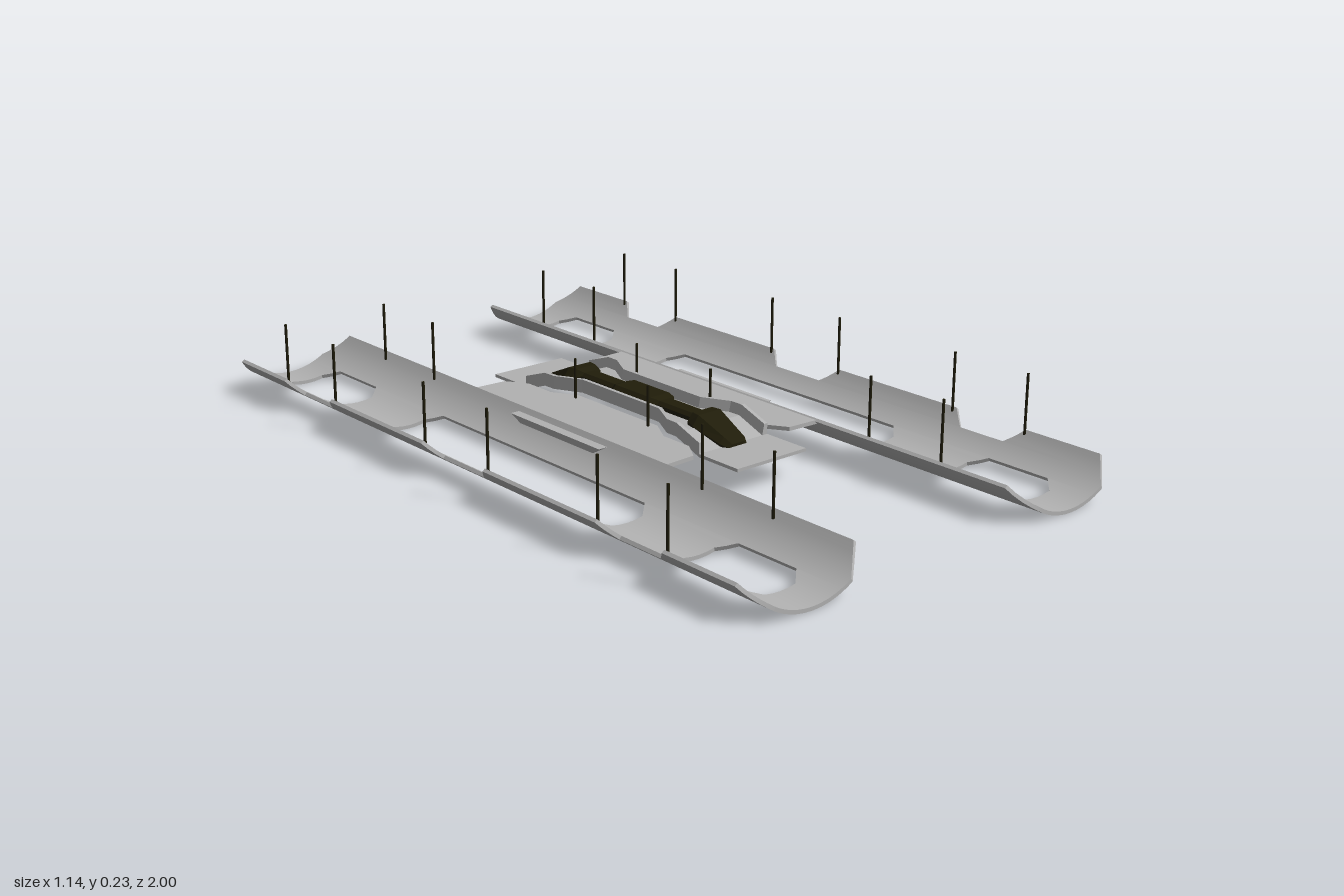
import * as THREE from 'three';
import { toCreasedNormals } from 'three/addons/utils/BufferGeometryUtils.js';

const grey = new THREE.MeshStandardMaterial({ color: 0xb2b2b2 });
grey.name = 'paintedGrey';
const dark = new THREE.MeshStandardMaterial({ color: 0x201d0a });
dark.name = 'darkOlive';

const QUADS = [[0, 3, 2, 1], [4, 5, 6, 7], [0, 1, 5, 4], [1, 2, 6, 5], [2, 3, 7, 6], [3, 0, 4, 7]];

// Six-sided block from four lower and four upper corners, always facing outwards
function addBlock(out, lower, upper) {
  const c = [...lower, ...upper].map((p) => new THREE.Vector3(...p));
  const e1 = c[1].clone().sub(c[0]), e2 = c[3].clone().sub(c[0]), e3 = c[4].clone().sub(c[0]);
  const flip = e1.cross(e2).dot(e3) < 0;
  for (const q of QUADS) {
    const [a, b, d, e] = (flip ? [...q].reverse() : q).map((i) => c[i].toArray());
    out.push(...a, ...b, ...d, ...a, ...d, ...e);
  }
}

function blockMesh(name, material, positions, crease = 0) {
  let g = new THREE.BufferGeometry();
  g.setAttribute('position', new THREE.Float32BufferAttribute(positions, 3));
  g.computeVertexNormals();
  if (crease) g = toCreasedNormals(g, crease);
  const m = new THREE.Mesh(g, material);
  m.name = name;
  return m;
}

// Curved trough with windows along the bottom and notches in the outer edge
function trough() {
  const R = 0.212, T = 0.009, X = 0.403;
  const us = [-0.17, -0.155, -0.14, -0.125, -0.11, -0.097, -0.083, -0.065, -0.045, -0.022, 0,
    0.022, 0.045, 0.065, 0.083, 0.097, 0.11, 0.122, 0.135, 0.147, 0.158, 0.168];
  const gaps = (u, mid) => {
    if (Math.abs(mid) < 0.083) {
      const inset = Math.max(0, Math.abs(u) - 0.045) * 0.92;
      return [[-0.7825, 0.1225 - inset], [0, 0.425 - inset], [0.7825, 0.1225 - inset]];
    }
    if (mid > 0.135) {
      const grow = (u - 0.135) * 1.25;
      return [[-0.627, 0.066 + grow], [0, 0.08 + grow], [0.627, 0.066 + grow]];
    }
    return [];
  };
  const cuts = (u, mid) => {
    const end = 1 - Math.max(0, Math.abs(u) - 0.11) * 0.85;
    return [-end, ...gaps(u, mid).flatMap(([c, h]) => [c - h, c + h]), end];
  };
  const point = (u, r, z) => {
    const a = Math.asin(u / R);
    return [X + r * Math.sin(a), R - r * Math.cos(a), z];
  };
  const pos = [];
  for (let i = 0; i < us.length - 1; i++) {
    const [u, v] = [us[i], us[i + 1]], mid = (u + v) / 2;
    const a = cuts(u, mid), b = cuts(v, mid);
    for (let k = 0; k < a.length; k += 2) {
      const layer = (r) => [point(u, r, a[k]), point(v, r, b[k]), point(v, r, b[k + 1]), point(u, r, a[k + 1])];
      addBlock(pos, layer(R), layer(R - T));
    }
  }
  return blockMesh('trough', grey, pos, 0.5);
}

// Flat wing joining a trough to the middle
function wing() {
  const half = [[0.24, 0.365], [0.152, 0.36], [0.117, 0.305], [0.117, 0.215], [0.08, 0.15]];
  const outline = [...half, ...half.map(([x, z]) => [x, -z]).reverse()];
  const shape = new THREE.Shape(outline.map(([x, z]) => new THREE.Vector2(x, z)));
  const g = new THREE.ExtrudeGeometry(shape, { depth: 0.01, bevelEnabled: false });
  g.rotateX(Math.PI / 2).translate(0, 0.088, 0);
  const m = new THREE.Mesh(g, grey);
  m.name = 'wing';
  return m;
}

const rect = (x0, x1, z, y) => [[x0, y, -z], [x1, y, -z], [x1, y, z], [x0, y, z]];

// Tapered block below the wing
function underBlock() {
  const pos = [];
  addBlock(pos, rect(0.18, 0.265, 0.12, 0.048), rect(0.115, 0.275, 0.17, 0.079));
  return blockMesh('underBlock', grey, pos);
}

// Mirror a list of stations [z, ...] to negative z
const bothEnds = (list) => [...list, ...list.map(([z, ...r]) => [-z, ...r]).reverse()];

// Centre bracket: floor with raised ends sloping down, and side rails
function bracket() {
  // z, half width, floor height, rail top
  const st = bothEnds([[0.46, 0.108, 0.073, 0.073], [0.33, 0.108, 0.073, 0.1],
    [0.25, 0.108, 0.102, 0.128], [0.215, 0.107, 0.102, 0.128], [0.145, 0.071, 0.102, 0.128]]);
  const floor = [], rails = [];
  for (let i = 0; i < st.length - 1; i++) {
    const [a, b] = [st[i], st[i + 1]];
    const layer = (d) => [[-a[1], a[2] + d, a[0]], [a[1], a[2] + d, a[0]], [b[1], b[2] + d, b[0]], [-b[1], b[2] + d, b[0]]];
    addBlock(floor, layer(-0.008), layer(0));
    if (i === 0 || i === st.length - 2) continue;
    for (const s of [-1, 1]) {
      const rail = (k, t) => [[s * a[1], a[k], a[0]], [s * (a[1] - t), a[k], a[0]],
        [s * (b[1] - t), b[k], b[0]], [s * b[1], b[k], b[0]]];
      addBlock(rails, rail(2, 0.016), rail(3, 0.01));
    }
  }
  const g = new THREE.Group();
  g.name = 'centreBracket';
  g.add(blockMesh('bracketFloor', grey, floor), blockMesh('bracketRails', grey, rails));
  return g;
}

// Dark bar with a bulb at each end and a block in the middle
function bar() {
  // z, half width, bottom, shoulder, top
  const st = bothEnds([[0.345, 0.028, 0.064, 0.072, 0.08], [0.325, 0.04, 0.063, 0.08, 0.094],
    [0.245, 0.053, 0.088, 0.105, 0.129], [0.22, 0.047, 0.09, 0.11, 0.129],
    [0.205, 0.026, 0.09, 0.112, 0.12], [0.085, 0.026, 0.09, 0.112, 0.12],
    [0.065, 0.046, 0.09, 0.112, 0.126]]);
  const pos = [];
  for (let i = 0; i < st.length - 1; i++) {
    const [a, b] = [st[i], st[i + 1]];
    const layer = (k, f) => [[-a[1] * f, a[k], a[0]], [a[1] * f, a[k], a[0]], [b[1] * f, b[k], b[0]], [-b[1] * f, b[k], b[0]]];
    addBlock(pos, layer(2, 1), layer(3, 1));
    addBlock(pos, layer(3, 1), layer(4, 0.65));
  }
  return blockMesh('centreBar', dark, pos);
}

// Thin upright pin
function pin(x, z, y0, y1) {
  const m = new THREE.Mesh(new THREE.CylinderGeometry(0.0035, 0.0035, y1 - y0, 6), dark);
  m.position.set(x, (y0 + y1) / 2, z);
  m.name = 'pin';
  return m;
}

export function createModel() {
  const model = new THREE.Group();
  model.name = 'twinTroughFrame';
  for (const turn of [0, Math.PI]) {
    const side = new THREE.Group();
    side.name = turn ? 'rightSide' : 'leftSide';
    side.add(trough(), wing(), underBlock());
    for (const s of [-1, 1]) {
      for (const z of [0.737, 0.513, 0.124]) side.add(pin(0.557, s * z, 0.078, 0.23));
      for (const z of [0.737, 0.513]) side.add(pin(0.263, s * z, 0.078, 0.23));
      side.add(pin(0.099, s * 0.138, 0.085, 0.19));
    }
    side.rotation.y = turn;
    model.add(side);
  }
  model.add(bracket(), bar());
  return model;
}
